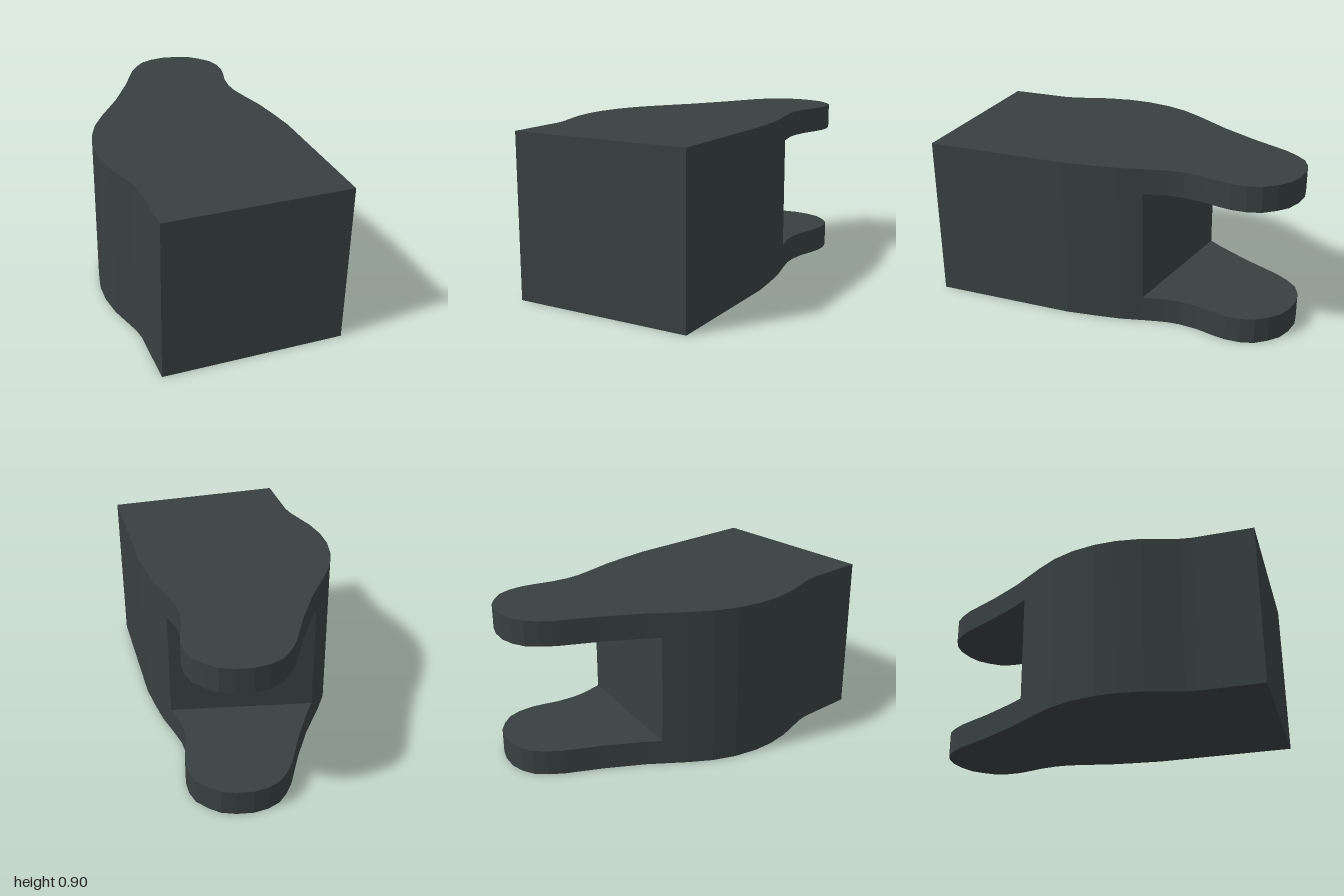
import * as THREE from 'three';

// Plan outline as [x, z], split where the rear slot wall meets the sides
const rightFlank = [
  [-0.46, 1], [-0.46, 0.66], [-0.47, 0.595], [-0.5, 0.495], [-0.53, 0.395],
  [-0.55, 0.26], [-0.547, 0.135], [-0.52, 0], [-0.47, -0.125], [-0.395, -0.245],
  [-0.313, -0.36],
];
const rearLobe = [
  [-0.26, -0.435], [-0.145, -0.63], [-0.04, -0.835], [0.01, -0.905], [0.065, -0.96],
  [0.135, -0.99], [0.215, -1], [0.305, -0.985], [0.38, -0.955], [0.435, -0.905],
  [0.485, -0.84], [0.505, -0.765], [0.505, -0.685], [0.49, -0.615], [0.463, -0.52],
  [0.45, -0.42], [0.453, -0.34], [0.471, -0.255],
];
const leftFlank = [
  [0.481, -0.21], [0.51, -0.09], [0.53, 0.055], [0.547, 0.215], [0.547, 1],
];

export function createModel() {
  const model = new THREE.Group();
  model.name = 'forkedBlock';
  const slate = new THREE.MeshStandardMaterial({ color: 0x384040 });
  slate.name = 'dark slate';

  // Upright slab with the given plan, from height y0 to y1
  function slab(name, plan, y0, y1) {
    const shape = new THREE.Shape(plan.map(([x, z]) => new THREE.Vector2(x, -z)));
    const geometry = new THREE.ExtrudeGeometry(shape, { depth: y1 - y0, bevelEnabled: false });
    geometry.rotateX(-Math.PI / 2);
    geometry.translate(0, y0, 0);
    const mesh = new THREE.Mesh(geometry, slate);
    mesh.name = name;
    model.add(mesh);
  }

  const fullPlan = [...rightFlank, ...rearLobe, ...leftFlank];
  const corePlan = [...rightFlank, ...leftFlank]; // ends at the slanted slot wall

  slab('lowerPlate', fullPlan, 0, 0.143);
  slab('core', corePlan, 0.143, 0.76);
  slab('upperPlate', fullPlan, 0.76, 0.9);

  return model;
}
